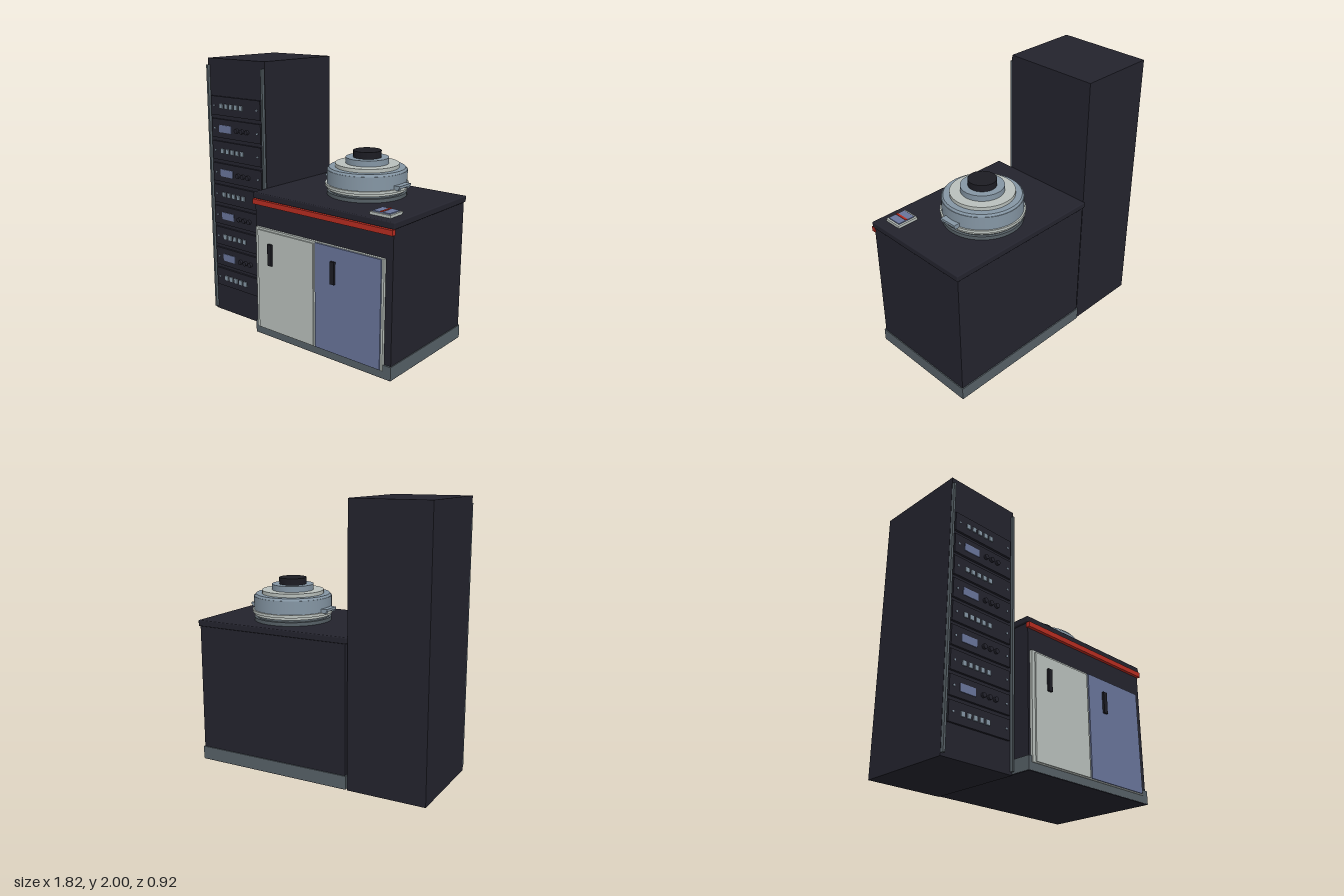
import * as THREE from 'three';
import { RoundedBoxGeometry } from 'three/addons/geometries/RoundedBoxGeometry.js';

const mat = (name, color) => {
  const m = new THREE.MeshStandardMaterial({ color });
  m.name = name;
  return m;
};

export function createModel() {
  const dark = mat('charcoal', 0x23232d);
  const black = mat('black', 0x1c1c23);
  const light = mat('pale grey', 0xb9c0bc);
  const blue = mat('slate blue', 0x69759a);
  const steel = mat('steel', 0x8596a4);
  const grey = mat('dark grey', 0x566066);
  const red = mat('red', 0xb82c20);

  const model = new THREE.Group();
  const group = (name) => {
    const g = new THREE.Group();
    g.name = name;
    model.add(g);
    return g;
  };
  const put = (parent, name, geo, m, x, y, z) => {
    const mesh = new THREE.Mesh(geo, m);
    mesh.name = name;
    mesh.position.set(x, y, z);
    parent.add(mesh);
    return mesh;
  };
  // box given by its limits on each axis
  const box = (parent, name, m, [x0, x1], [y0, y1], [z0, z1]) =>
    put(parent, name, new THREE.BoxGeometry(x1 - x0, y1 - y0, z1 - z0), m,
      (x0 + x1) / 2, (y0 + y1) / 2, (z0 + z1) / 2);

  // tall equipment rack
  const rack = group('rack');
  box(rack, 'rackBody', dark, [-0.91, -0.325], [0, 2], [-0.44, 0.28]);
  for (const x of [-0.9, -0.338])
    box(rack, 'rackRail', grey, [x - 0.008, x + 0.008], [0.02, 1.95], [0.28, 0.302]);

  // nine rack units, alternating button rows and display panels
  for (let i = 0; i < 9; i++) {
    const y = 1.652 - i * 0.1703;
    const unit = new THREE.Group();
    unit.name = 'rackUnit';
    rack.add(unit);
    box(unit, 'unitPanel', dark, [-0.875, -0.363], [y - 0.071, y + 0.071], [0.279, 0.296]);
    for (const x of [-0.84, -0.395]) {
      const screw = put(unit, 'screw', new THREE.CylinderGeometry(0.007, 0.007, 0.006, 10), steel, x, y, 0.298);
      screw.rotation.x = Math.PI / 2;
    }
    if (i % 2 === 0) {
      for (let k = 0; k < 5; k++) {
        const x = -0.764 + k * 0.0517;
        box(unit, 'button', steel, [x - 0.016, x + 0.016], [y - 0.018, y + 0.018], [0.295, 0.304]);
      }
    } else {
      box(unit, 'display', blue, [-0.792, -0.663], [y - 0.028, y + 0.028], [0.295, 0.301]);
      for (let k = 0; k < 3; k++) {
        const knob = put(unit, 'knob', new THREE.CylinderGeometry(0.017, 0.017, 0.02, 16), dark,
          -0.602 + k * 0.053, y, 0.305);
        knob.rotation.x = Math.PI / 2;
      }
    }
  }

  // cabinet with plinth, worktop and red trim
  const cabinet = group('cabinet');
  box(cabinet, 'cabinetBody', dark, [-0.312, 0.893], [0.1, 1.045], [-0.447, 0.412]);
  box(cabinet, 'plinth', grey, [-0.32, 0.9], [0.012, 0.107], [-0.455, 0.424]);
  box(cabinet, 'underside', dark, [-0.318, 0.898], [0.008, 0.02], [-0.453, 0.422]);
  put(cabinet, 'worktop', new RoundedBoxGeometry(1.23, 0.046, 0.88, 2, 0.008), dark, 0.29, 1.066, -0.018);
  box(cabinet, 'redTrim', red, [-0.32, 0.9], [1.005, 1.042], [0.405, 0.436]);

  // doors
  const doors = group('doors');
  box(doors, 'doorFrame', light, [-0.295, 0.838], [0.065, 0.84], [0.405, 0.432]);
  box(doors, 'leftHandDoor', light, [-0.268, 0.252], [0.072, 0.825], [0.43, 0.442]);
  box(doors, 'rightHandDoor', blue, [0.27, 0.822], [0.072, 0.836], [0.43, 0.442]);
  for (const x of [-0.143, 0.432])
    box(doors, 'doorHandle', black, [x - 0.018, x + 0.018], [0.577, 0.737], [0.44, 0.458]);

  // round stepped vessel: radius at bottom, radius at top, lower y, upper y
  const vessel = group('vessel');
  const tiers = [
    ['vesselFoot', grey, 0.285, 0.285, 1.085, 1.115],
    ['vesselNeck', grey, 0.265, 0.265, 1.115, 1.135],
    ['lowerRing', light, 0.285, 0.285, 1.132, 1.15],
    ['rimRing', light, 0.298, 0.298, 1.15, 1.17],
    ['vesselBody', steel, 0.286, 0.286, 1.17, 1.268],
    ['bodyShoulder', steel, 0.282, 0.272, 1.268, 1.284],
    ['lidDisc', light, 0.227, 0.227, 1.284, 1.31],
    ['lidStep', steel, 0.153, 0.153, 1.31, 1.352],
    ['lidKnob', black, 0.1, 0.1, 1.352, 1.4],
  ];
  for (const [name, m, r0, r1, y0, y1] of tiers)
    put(vessel, name, new THREE.CylinderGeometry(r1, r0, y1 - y0, 48), m, 0.32, (y0 + y1) / 2, -0.075);

  // side grips with two short lugs each
  for (const s of [-1, 1]) {
    put(vessel, 'grip', new THREE.BoxGeometry(0.065, 0.018, 0.136), steel, 0.32 + s * 0.292, 1.188, -0.075);
    for (const dz of [-0.053, 0.053])
      put(vessel, 'gripLug', new THREE.BoxGeometry(0.055, 0.016, 0.03), steel, 0.32 + s * 0.29, 1.173, -0.075 + dz);
  }

  // small control pad on the worktop
  const pad = group('controlPad');
  box(pad, 'padFrame', light, [0.665, 0.828], [1.085, 1.108], [0.222, 0.358]);
  box(pad, 'padFace', blue, [0.68, 0.814], [1.107, 1.116], [0.236, 0.346]);
  box(pad, 'padStripe', red, [0.739, 0.755], [1.115, 1.12], [0.236, 0.346]);

  return model;
}
